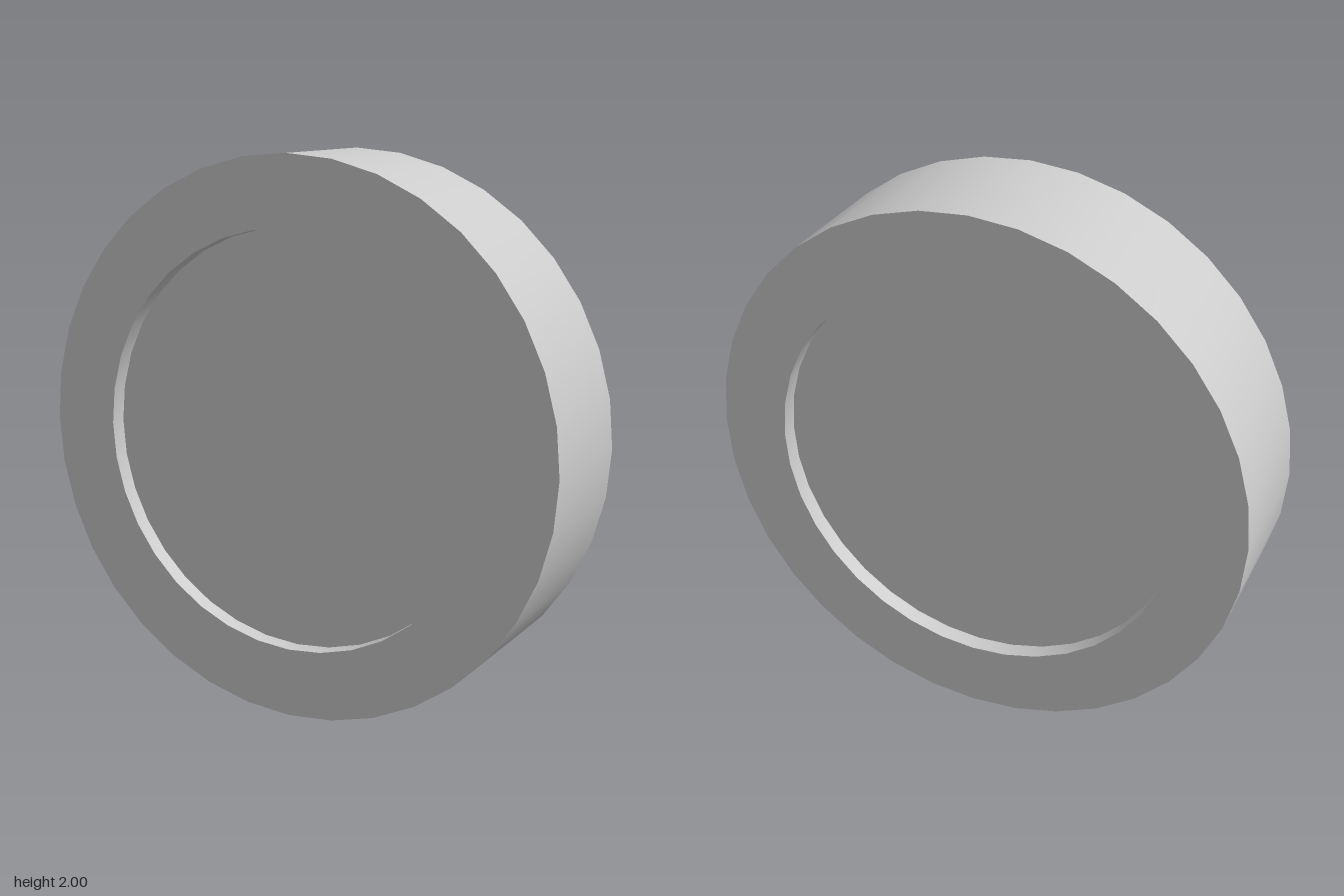
import * as THREE from 'three';
import { toCreasedNormals } from 'three/addons/utils/BufferGeometryUtils.js';

const SIDES = 36;
const OUTER = 1, INNER = 0.75; // radii
const HALF = 0.25, FLOOR = 0.187; // half thickness, recessed face offset

export function createModel() {
  const group = new THREE.Group();
  group.name = 'recessedDisc';
  const material = new THREE.MeshStandardMaterial({ color: 0xcccccc });

  // Rim: outer wall, flat front and back rings, and the short recess walls
  const profile = [
    [INNER, -FLOOR], [INNER, -HALF], [OUTER, -HALF],
    [OUTER, HALF], [INNER, HALF], [INNER, FLOOR],
  ].map(([r, y]) => new THREE.Vector2(r, y));
  const rimGeometry = new THREE.LatheGeometry(profile, SIDES).rotateX(Math.PI / 2);
  const rim = new THREE.Mesh(toCreasedNormals(rimGeometry, Math.PI / 6), material);
  rim.name = 'rim';
  rim.position.y = OUTER;
  group.add(rim);

  // Recessed flat faces, front and back
  for (const side of [1, -1]) {
    const face = new THREE.Mesh(new THREE.CircleGeometry(INNER, SIDES), material);
    face.name = side > 0 ? 'frontFace' : 'backFace';
    face.position.set(0, OUTER, side * FLOOR);
    if (side < 0) face.rotation.y = Math.PI;
    group.add(face);
  }
  return group;
}
